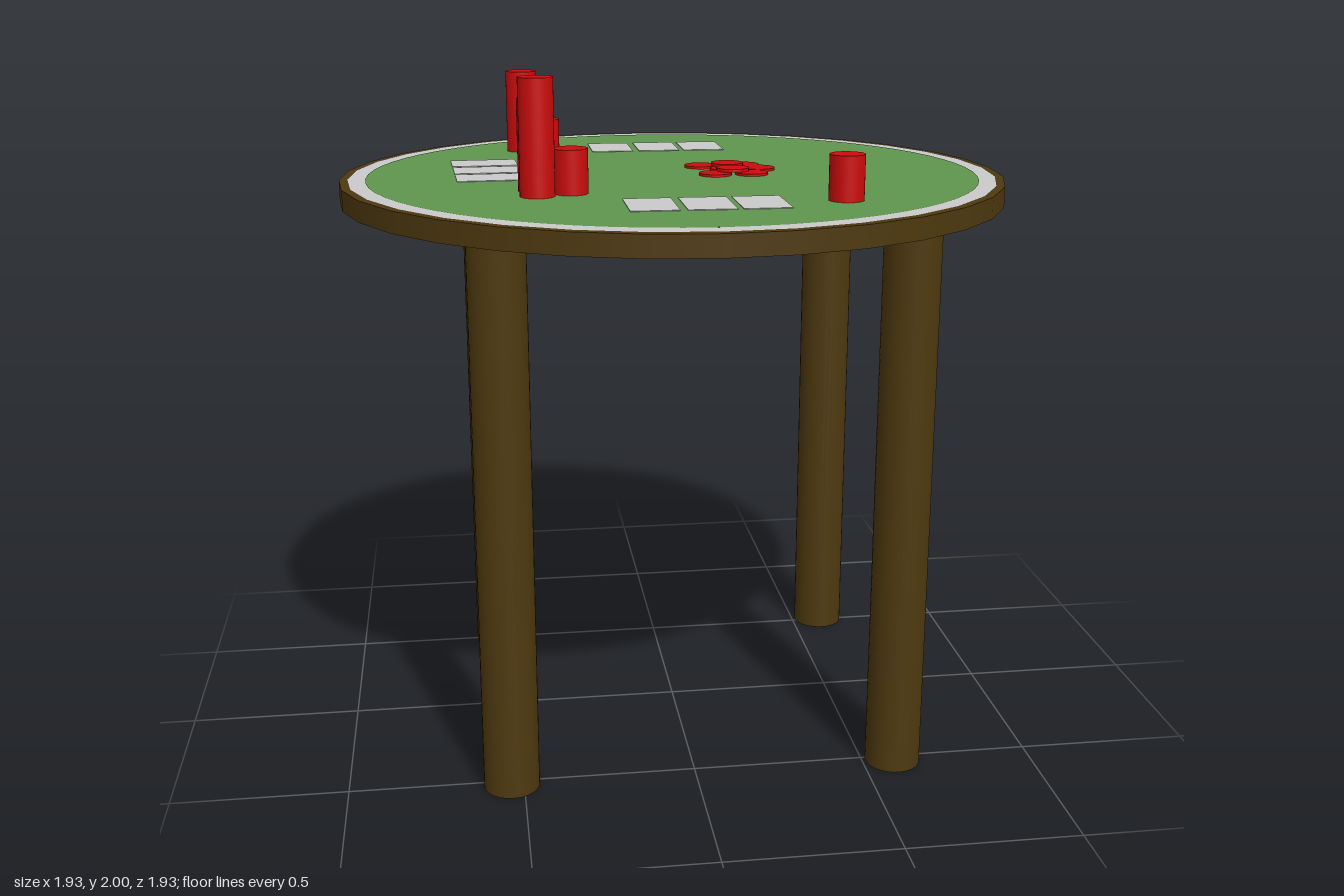
import * as THREE from 'three';

const mat = (name, color) => {
  const m = new THREE.MeshStandardMaterial({ color });
  m.name = name;
  return m;
};

export function createModel() {
  const wood = mat('dark wood', 0x4e390f);
  const felt = mat('green felt', 0x5f964d);
  const pale = mat('pale grey', 0xcacaca);
  const red = mat('red', 0xcc0c0c);

  const model = new THREE.Group();
  model.name = 'cardTable';
  const group = (name) => {
    const g = new THREE.Group();
    g.name = name;
    model.add(g);
    return g;
  };
  const add = (parent, name, geometry, material, x, y, z) => {
    const mesh = new THREE.Mesh(geometry, material);
    mesh.name = name;
    mesh.position.set(x, y, z);
    parent.add(mesh);
    return mesh;
  };
  // Upright cylinder standing on height y
  const post = (parent, name, r, h, sides, material, x, y, z) =>
    add(parent, name, new THREE.CylinderGeometry(r, r, h, sides), material, x, y + h / 2, z);

  const TOP = 1.68;

  // Faceted table top
  const board = new THREE.CylinderGeometry(0.965, 0.965, 0.06, 32);
  add(model, 'tableTop', board, wood, 0, TOP - 0.03, 0);

  // Pale border and felt, as thin flat faces on the top
  const border = new THREE.RingGeometry(0.885, 0.942, 32).rotateX(-Math.PI / 2);
  add(model, 'border', border, pale, 0, TOP + 0.001, 0);
  const cloth = new THREE.CircleGeometry(0.89, 64).rotateX(-Math.PI / 2);
  add(model, 'feltCloth', cloth, felt, 0, TOP + 0.002, 0);

  // Four round legs
  const legs = group('legs');
  for (const x of [-0.535, 0.59])
    for (const z of [-0.51, 0.52]) post(legs, 'leg', 0.08, 1.63, 32, wood, x, 0, z);

  // Three hands of three cards
  const cards = group('cards');
  const cardShape = new THREE.BoxGeometry(0.13, 0.002, 0.197);
  const cardY = TOP + 0.003;
  for (const z of [-0.57, 0.55])
    for (const x of [-0.129, 0.021, 0.166]) add(cards, 'card', cardShape, pale, x, cardY, z);
  for (const i of [-1, 0, 1]) {
    const card = add(cards, 'card', cardShape, pale, -0.539 + i * 0.006, cardY, -0.118 + i * 0.146);
    card.rotation.y = Math.PI / 2 + 0.04;
  }

  // Chip stacks: x, z, height
  const stacks = group('chipStacks');
  for (const [x, z, h] of [
    [-0.415, -0.545, 0.255], [-0.34, -0.605, 0.095],
    [-0.415, 0.275, 0.255], [-0.415, 0.37, 0.32], [-0.322, 0.333, 0.125],
    [0.396, 0.54, 0.125],
  ]) post(stacks, 'chipStack', 0.048, h, 32, red, x, TOP, z);

  // Loose chips in the pot: x, z, layer
  const pot = group('pot');
  for (const [x, z, layer] of [
    [0.1, -0.105, 0], [0.23, -0.105, 0], [0.265, -0.035, 0], [0.227, 0.057, 0],
    [0.12, 0.057, 0], [0.167, -0.03, 0], [0.177, -0.083, 1], [0.177, 0.02, 1],
  ]) post(pot, 'chip', 0.048, 0.009, 32, red, x, TOP + layer * 0.009, z);

  return model;
}
